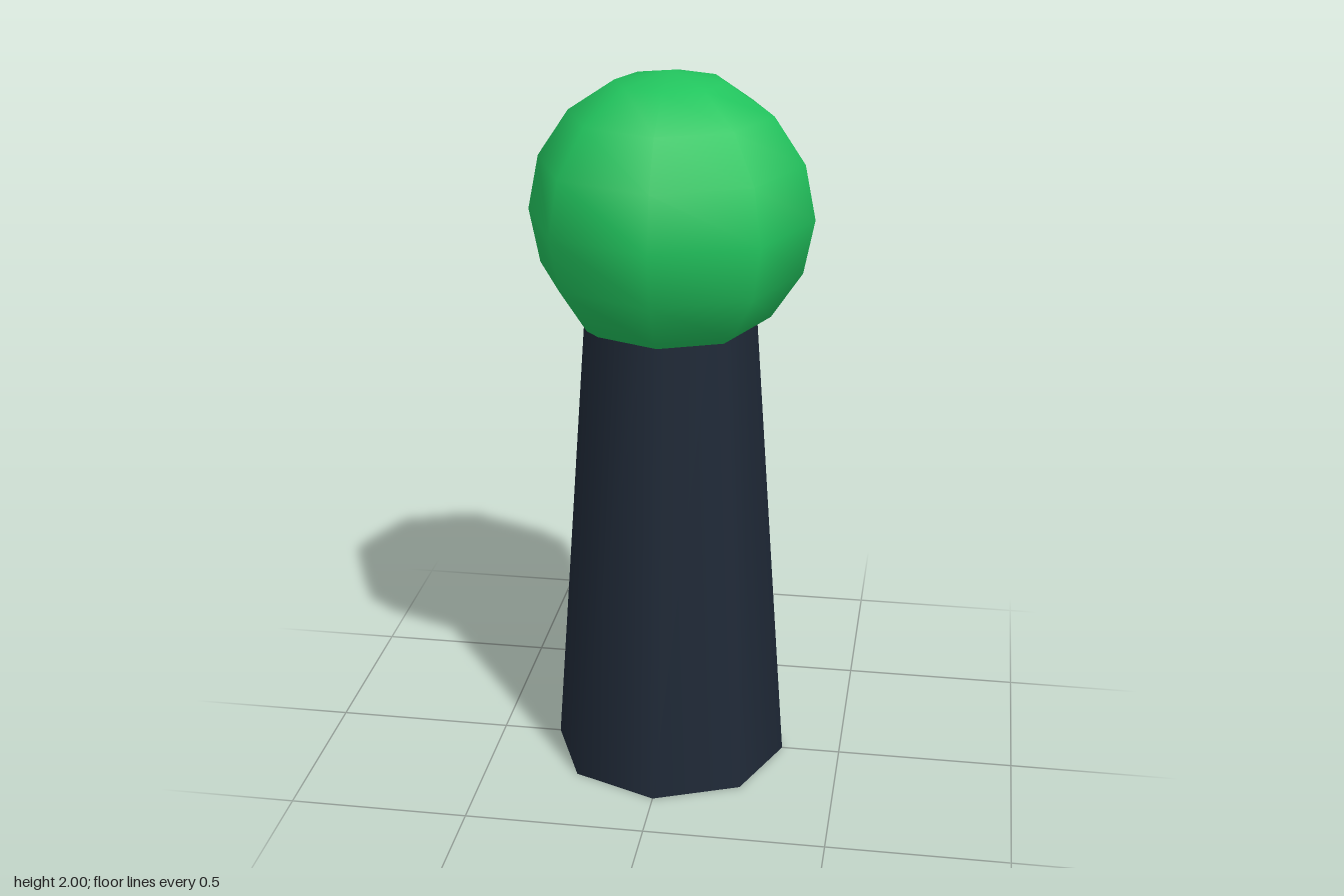
import * as THREE from 'three';

export function createModel() {
  const group = new THREE.Group();
  const add = (name, geometry, color, y) => {
    const mesh = new THREE.Mesh(geometry, new THREE.MeshStandardMaterial({ color }));
    mesh.name = name;
    mesh.position.y = y;
    group.add(mesh);
  };

  // Tapered eight-sided post; its top is sunk into the head
  const postHeight = 1.556;
  add('post', new THREE.CylinderGeometry(0.222, 0.333, postHeight, 8), 0x1f2937, postHeight / 2);

  // Smooth-shaded low-poly ball on top
  const headRadius = 0.389;
  add('head', new THREE.SphereGeometry(headRadius, 8, 8), 0x22c55e, 2 - headRadius);

  return group;
}
